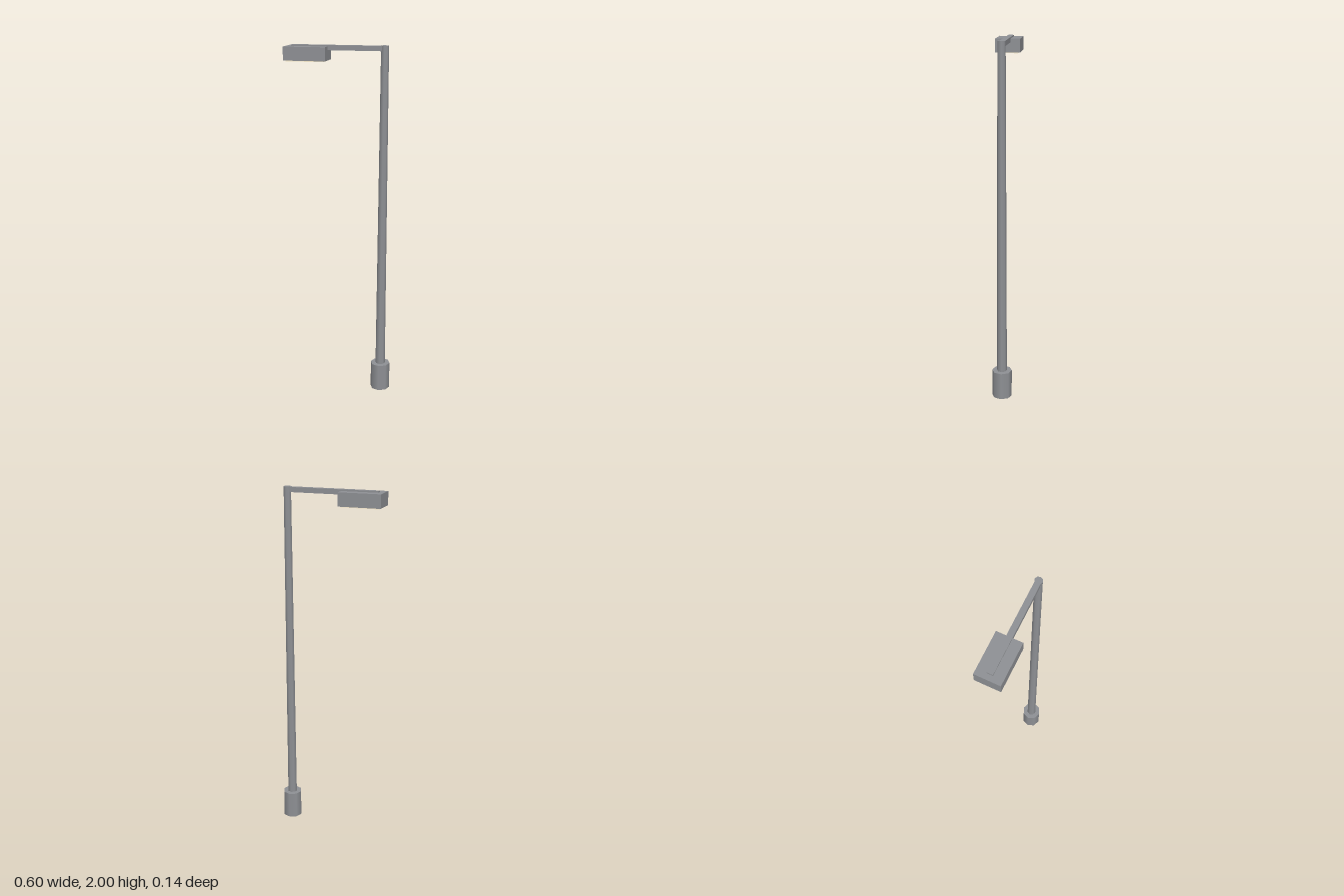
import * as THREE from 'three';

const POLE_X = 0.245;
const BASE_RADIUS = 0.056, BASE_HEIGHT = 0.157;

export function createModel() {
  const model = new THREE.Group();
  const metal = new THREE.MeshStandardMaterial({ color: 0x8f9195 });
  const openMetal = new THREE.MeshStandardMaterial({ color: 0x8f9195, side: THREE.DoubleSide });
  const warm = new THREE.MeshStandardMaterial({ color: 0xfff0d0 });

  const add = (name, geometry, x, y, z, material = metal) => {
    const mesh = new THREE.Mesh(geometry, material);
    mesh.name = name;
    mesh.position.set(x, y, z);
    model.add(mesh);
  };

  // Box from its limits along x and y, centred on z
  const box = (name, x0, x1, y0, y1, depth, material) =>
    add(name, new THREE.BoxGeometry(x1 - x0, y1 - y0, depth), (x0 + x1) / 2, (y0 + y1) / 2, 0, material);

  // Base sleeve, open underneath, with a flat top
  const sleeve = new THREE.CylinderGeometry(BASE_RADIUS, BASE_RADIUS, BASE_HEIGHT, 8, 1, true);
  add('baseSleeve', sleeve, POLE_X, BASE_HEIGHT / 2, 0, openMetal);
  const top = new THREE.CircleGeometry(BASE_RADIUS, 8).rotateX(-Math.PI / 2);
  add('baseTop', top, POLE_X, BASE_HEIGHT, 0, openMetal);

  // Tapered pole with smooth sides
  const poleHeight = 2 - BASE_HEIGHT;
  const pole = new THREE.CylinderGeometry(0.0215, 0.028, poleHeight, 8);
  add('pole', pole, POLE_X, BASE_HEIGHT + poleHeight / 2, 0);

  box('arm', -0.271, POLE_X, 1.971, 1.998, 0.031);

  // Lamp housing with a warm panel standing slightly proud underneath
  box('lampHousing', -0.301, -0.067, 1.916, 1.99, 0.138);
  box('lightPanel', -0.289, -0.079, 1.911, 1.92, 0.114, warm);

  return model;
}
